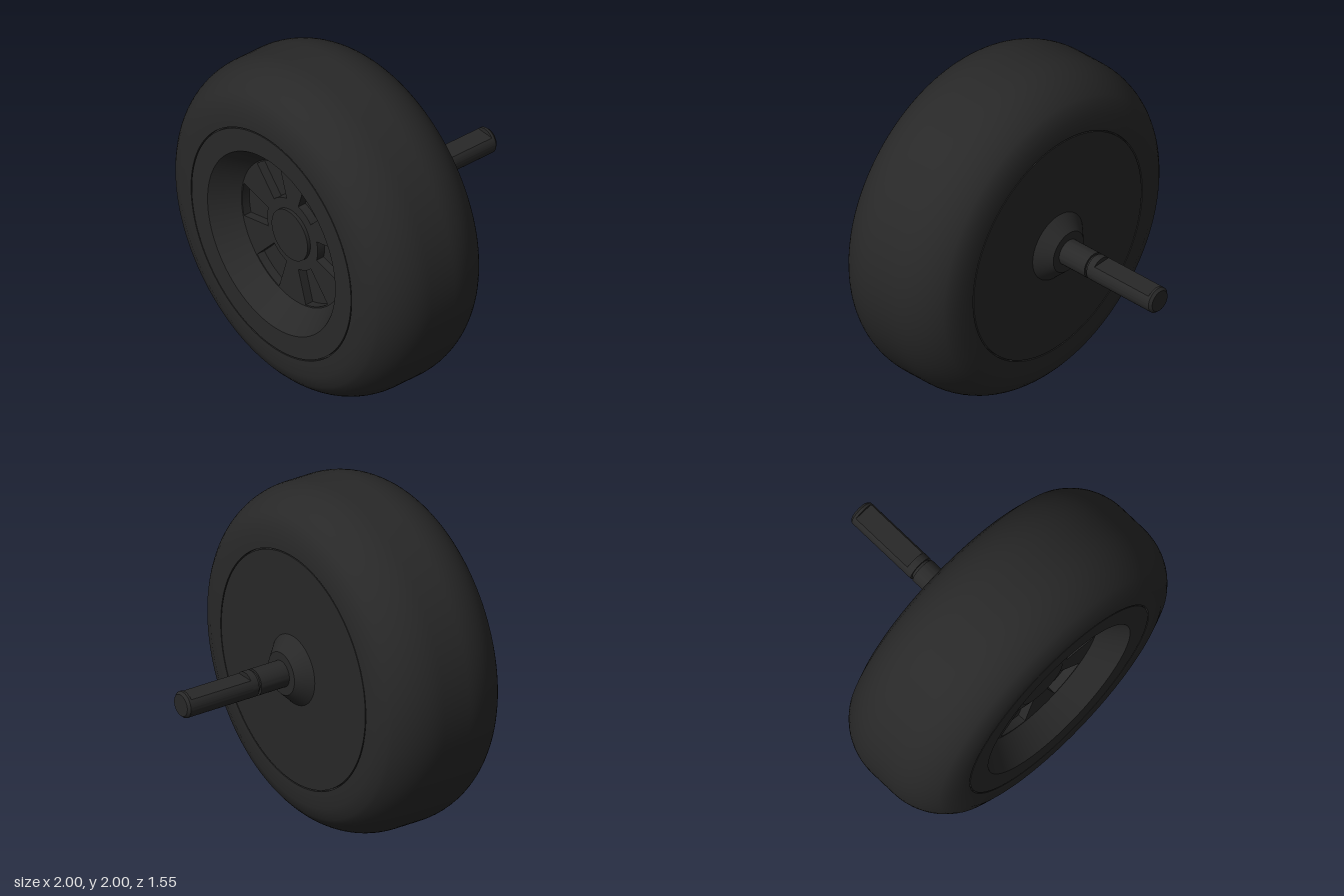
import * as THREE from 'three';
import { toCreasedNormals } from 'three/addons/utils/BufferGeometryUtils.js';

const material = new THREE.MeshStandardMaterial({ color: 0x282828 });
const BACK = -0.02, FRONT = 0.775, MID = (BACK + FRONT) / 2;

function add(group, name, geometry) {
  const mesh = new THREE.Mesh(toCreasedNormals(geometry, 0.4), material);
  mesh.name = name;
  group.add(mesh);
}

// Solid of revolution about the z axle from [radius, z] pairs
function turned(pairs, segments = 96) {
  const points = pairs.map(([r, z]) => new THREE.Vector2(r, z));
  return new THREE.LatheGeometry(points, segments).rotateX(Math.PI / 2);
}

function extruded(shape, zFrom, zTo) {
  return new THREE.ExtrudeGeometry(shape, { depth: zTo - zFrom, bevelEnabled: false, curveSegments: 48 })
    .translate(0, 0, zFrom);
}

export function createModel() {
  const wheel = new THREE.Group();
  wheel.name = 'wheel';
  wheel.position.y = 1;

  // Tyre: front half of the tread curve, mirrored for the back
  const half = [];
  for (let i = 0; i <= 12; i++) {
    const a = (i / 12) * 0.994;
    half.push([0.7 + 0.3 * Math.cos(a), 0.46 + 0.34 * Math.sin(a)]);
  }
  half.push([0.79, FRONT], [0.693, FRONT]);
  const mirrored = half.map(([r, z]) => [r, 2 * MID - z]).reverse();
  add(wheel, 'tyre', turned([...mirrored, ...half, mirrored[0]], 128));

  // Rim with a thin seam against the tyre and a conical dish in front
  add(wheel, 'rim', turned([
    [0, BACK], [0.686, BACK], [0.686, 0], [0.693, 0], [0.693, 0.755], [0.686, 0.755],
    [0.686, FRONT], [0.55, FRONT], [0.44, 0.625], [0.44, 0.575], [0, 0.575],
  ], 128));

  // Dish floor with six wedge-shaped pockets
  const floor = new THREE.Shape().absarc(0, 0, 0.441, 0, Math.PI * 2);
  for (let i = 0; i < 6; i++) {
    const a = (i * Math.PI) / 3;
    const pocket = new THREE.Path();
    pocket.absarc(0, 0, 0.432, a - 0.255, a + 0.255, false);
    pocket.absarc(0, 0, 0.217, a + 0.29, a - 0.29, true);
    pocket.closePath();
    floor.holes.push(pocket);
  }
  add(wheel, 'spokePlate', extruded(floor, 0.575, 0.625));

  // Hub cap and rear boss
  add(wheel, 'hubCap', turned([[0.155, 0.6], [0.155, 0.645], [0, 0.645]], 64));
  add(wheel, 'rearBoss', turned([[0, -0.1], [0.125, -0.1], [0.205, BACK]], 64));

  // Axle: round root with a clip groove, flatted shank, chamfered tip
  const R = 0.077;
  add(wheel, 'axleRoot', turned([
    [0, -0.345], [R, -0.345], [R, -0.302], [0.064, -0.302], [0.064, -0.286], [R, -0.286], [R, -0.08],
  ], 48));
  const flat = Math.asin(0.05 / R);
  const section = new THREE.Shape().absarc(0, 0, R, Math.PI - flat, Math.PI * 2 + flat, false);
  section.closePath();
  add(wheel, 'axleShank', extruded(section, -0.75, -0.34));
  add(wheel, 'axleTip', turned([
    [0, -0.775], [0.063, -0.775], [R, -0.76], [R, -0.745], [0, -0.745],
  ], 48));

  const model = new THREE.Group();
  model.add(wheel);
  return model;
}
